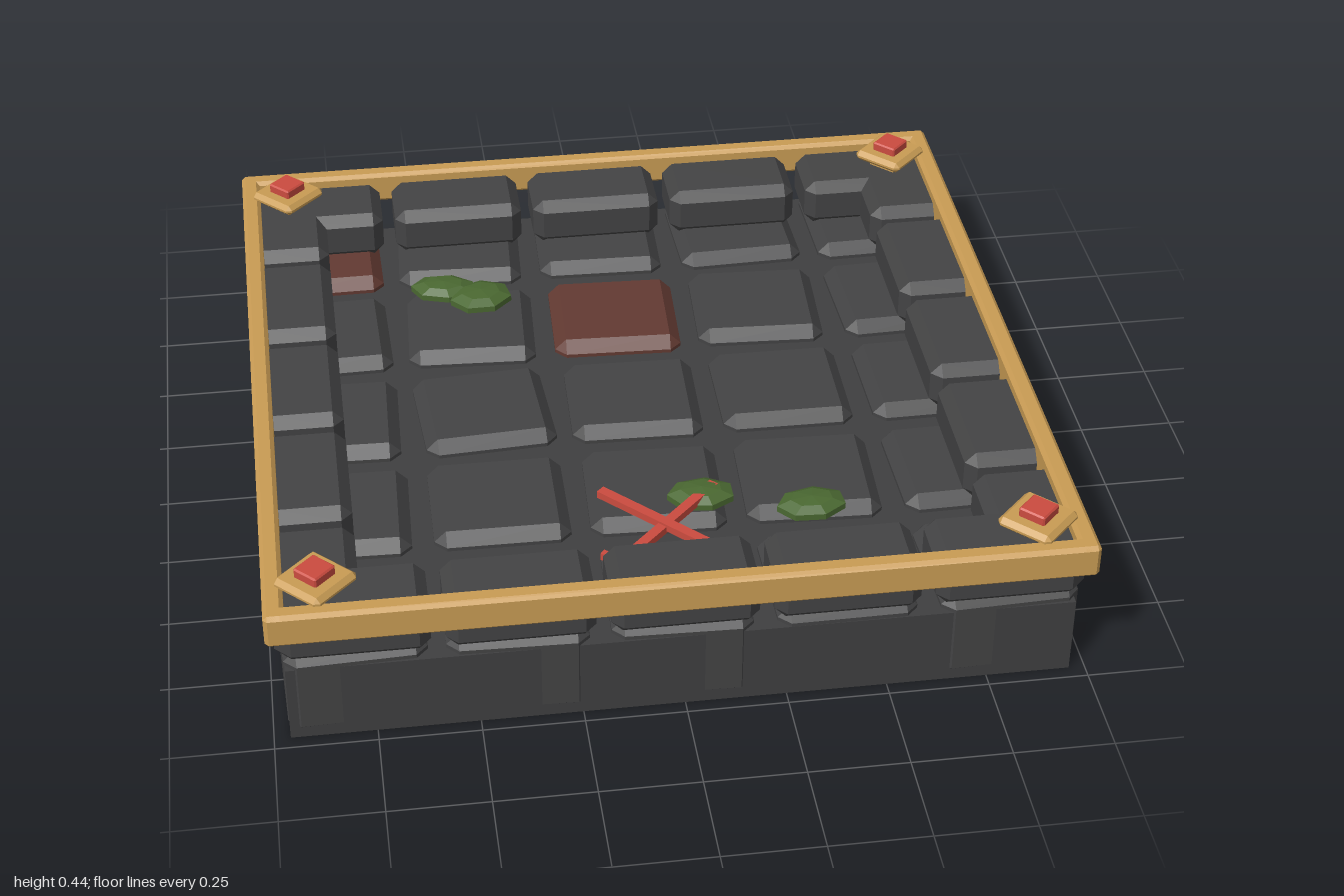
import * as THREE from 'three';
import { ConvexGeometry } from 'three/addons/geometries/ConvexGeometry.js';

const mat = (name, color) => {
  const m = new THREE.MeshStandardMaterial({ color, flatShading: true });
  m.name = name;
  return m;
};

// Box with every edge chamfered by c, centred on the origin
function chamferBox(w, h, d, c) {
  const pts = [];
  for (const sx of [-1, 1]) for (const sy of [-1, 1]) for (const sz of [-1, 1]) {
    const x = w / 2, y = h / 2, z = d / 2;
    pts.push(
      new THREE.Vector3(sx * x, sy * (y - c), sz * (z - c)),
      new THREE.Vector3(sx * (x - c), sy * y, sz * (z - c)),
      new THREE.Vector3(sx * (x - c), sy * (y - c), sz * z));
  }
  return new ConvexGeometry(pts);
}

export function createModel() {
  const root = new THREE.Group();
  root.name = 'dungeonFloorTile';
  const stone = mat('darkStone', 0x434344);
  const mortar = mat('mortar', 0x3f3f40);
  const rust = mat('rustStone', 0x633a32);
  const gold = mat('gold', 0xc99c54);
  const red = mat('redPaint', 0xcb4b3f);
  const moss = mat('moss', 0x4a6831);

  const add = (parent, name, geo, material, x, y, z, yaw = 0) => {
    const m = new THREE.Mesh(geo, material);
    m.name = name;
    m.position.set(x, y, z);
    m.rotation.y = yaw;
    parent.add(m);
    return m;
  };
  const group = (name) => {
    const g = new THREE.Group();
    g.name = name;
    root.add(g);
    return g;
  };

  // Foundation slab
  add(root, 'slab', new THREE.BoxGeometry(1.92, 0.21, 1.93), mortar, 0, 0.105, 0);

  // Five by five paving stones, each slightly turned
  const paving = group('pavingStones');
  const yaws = [
    [0.01, -0.05, -0.03, 0.03, 0.02],
    [0.02, -0.05, -0.04, -0.05, 0.03],
    [-0.03, 0.06, -0.03, -0.01, 0.01],
    [-0.03, -0.01, -0.04, -0.04, 0.02],
    [0.04, -0.03, -0.03, 0.01, 0.04]];
  const paver = chamferBox(0.345, 0.246, 0.335, 0.03);
  yaws.forEach((row, j) => row.forEach((yaw, i) => {
    const isRust = (i === 2 && j === 1) || (i === 0 && j === 0);
    add(paving, 'pavingStone', paver, isRust ? rust : stone,
      (i - 2) * 0.398, 0.127, (j - 2) * 0.398, yaw);
  }));

  // Raised rim stones along the four sides
  const rim = group('rimStones');
  const rimStone = chamferBox(0.36, 0.135, 0.21, 0.028);
  for (let side = 0; side < 4; side++) {
    const g = new THREE.Group();
    g.name = 'rimSide';
    g.rotation.y = side * Math.PI / 2;
    for (let i = -2; i <= 2; i++) {
      add(g, 'rimStone', rimStone, stone, i * 0.395, 0.303, 0.875);
    }
    rim.add(g);
  }

  // Gold frame rails with corner plates and gems
  const frame = group('frame');
  const rail = chamferBox(2, 0.09, 0.05, 0.01);
  const plate = chamferBox(0.148, 0.03, 0.148, 0.012);
  const gem = chamferBox(0.072, 0.03, 0.072, 0.004);
  for (let side = 0; side < 4; side++) {
    const a = side * Math.PI / 2;
    add(frame, 'frameRail', rail, gold, Math.sin(a) * 0.975, 0.357, Math.cos(a) * 0.975, a);
    const x = side < 2 ? 0.872 : -0.872, z = side % 2 ? 0.872 : -0.872;
    add(frame, 'cornerPlate', plate, gold, x, 0.405, z, Math.PI / 4);
    add(frame, 'cornerGem', gem, red, x, 0.429, z, Math.PI / 4);
    // Stem carrying the plate on the rim stones
    add(frame, 'plateStem', new THREE.BoxGeometry(0.08, 0.04, 0.08), gold, x, 0.378, z, Math.PI / 4);
  }

  // Moss clumps: flattened low-poly lumps
  const mossGroup = group('mossClumps');
  const lump = new THREE.SphereGeometry(1, 7, 5);
  for (const [x, z, rx, rz, yaw] of [
    [-0.46, -0.55, 0.095, 0.062, -0.15], [-0.36, -0.495, 0.092, 0.075, 0.2],
    [0.11, 0.48, 0.092, 0.064, 0], [0.38, 0.555, 0.095, 0.064, 0.1]]) {
    add(mossGroup, 'moss', lump, moss, x, 0.258, z, yaw).scale.set(rx, 0.027, rz);
  }

  // Painted cross with short barbs at its front ends
  const cross = group('crossMark');
  const stroke = (x0, z0, x1, z1, y, w) => {
    const dx = x1 - x0, dz = z1 - z0;
    add(cross, 'crossStroke', new THREE.BoxGeometry(Math.hypot(dx, dz), 0.02, w), red,
      (x0 + x1) / 2, y, (z0 + z1) / 2, -Math.atan2(dz, dx));
  };
  for (const s of [-1, 1]) {
    stroke(s * -0.145, 0.46, s * 0.16, 0.775, 0.274 + s * 0.003, 0.026);
    stroke(s * 0.09, 0.735, s * 0.17, 0.735, 0.27, 0.018);
    stroke(s * 0.17, 0.705, s * 0.12, 0.745, 0.272, 0.018);
  }
  return root;
}
